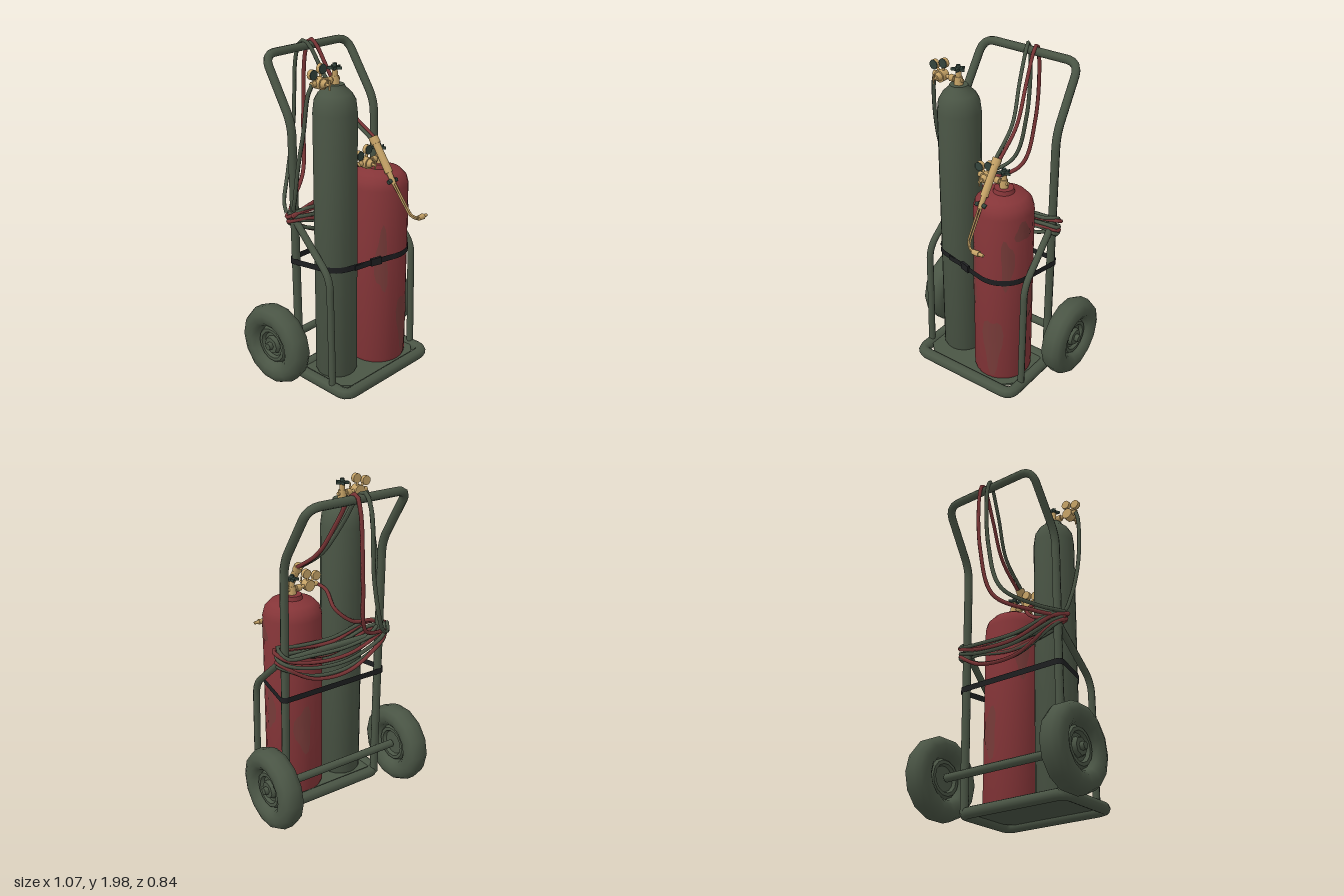
import * as THREE from 'three';
import { toCreasedNormals } from 'three/addons/utils/BufferGeometryUtils.js';

const mat = (name, color, side = THREE.FrontSide) => {
  const m = new THREE.MeshStandardMaterial({ color, side });
  m.name = name;
  return m;
};
const V = (p) => new THREE.Vector3(...p);

export function createModel() {
  const root = new THREE.Group();
  root.name = 'gasWeldingCart';
  const green = mat('olive green paint', 0x4a5545);
  const red = mat('red paint', 0x853538);
  const worn = mat('worn red paint', 0x763a38);
  const redHose = mat('red rubber', 0x7b3536);
  const brass = mat('brass', 0xc5a266);
  const black = mat('black strap', 0x1d1e20, THREE.DoubleSide);
  const dark = mat('dark green plastic', 0x33443c);

  const add = (name, geo, m, pos = [0, 0, 0], rot = [0, 0, 0], parent = root) => {
    const mesh = new THREE.Mesh(geo, m);
    mesh.name = name;
    mesh.position.set(...pos);
    mesh.rotation.set(...rot);
    parent.add(mesh);
    return mesh;
  };

  // Bent pipe: straight runs joined by short rounded corners
  const pipe = (name, pts, r, m, bend = 0.05, closed = false, segs = 64) => {
    const p = pts.map(V), n = p.length, path = new THREE.CurvePath();
    const toward = (a, b) => a.clone().lerp(b, Math.min(0.45, bend / a.distanceTo(b)));
    let last = closed ? toward(p[0], p[1]) : p[0];
    for (let i = 1; i < (closed ? n + 1 : n - 1); i++) {
      const c = p[i % n], a = toward(c, p[i - 1]), b = toward(c, p[(i + 1) % n]);
      path.add(new THREE.LineCurve3(last, a));
      path.add(new THREE.QuadraticBezierCurve3(a, c, b));
      last = b;
    }
    if (!closed) path.add(new THREE.LineCurve3(last, p[n - 1]));
    return add(name, new THREE.TubeGeometry(path, segs, r, 8, closed), m);
  };
  const hose = (name, pts, m, closed = false) =>
    add(name, new THREE.TubeGeometry(new THREE.CatmullRomCurve3(pts.map(V), closed), 64, 0.012, 6, closed), m);
  // Straight round bar between two points, optionally tapered
  const bar = (name, a, b, r, m, parent = root, r2 = r, sides = 10) => {
    const A = V(a), B = V(b), d = B.clone().sub(A);
    const mesh = add(name, new THREE.CylinderGeometry(r2, r, d.length(), sides), m,
      A.clone().add(B).multiplyScalar(0.5).toArray(), [0, 0, 0], parent);
    mesh.quaternion.setFromUnitVectors(new THREE.Vector3(0, 1, 0), d.normalize());
    return mesh;
  };
  const lathe = (pts, sides, crease = 0.7) =>
    toCreasedNormals(new THREE.LatheGeometry(pts.map((p) => new THREE.Vector2(...p)), sides), crease);

  // Base frame and plate with cut front corners
  pipe('baseFrame', [[-0.35, 0.045, -0.1], [-0.35, 0.045, 0.315], [0.35, 0.045, 0.315], [0.35, 0.045, -0.1]],
    0.035, green, 0.06, true, 96);
  const plate = new THREE.Shape([[-0.35, 0.1], [0.35, 0.1], [0.35, -0.2], [0.25, -0.3], [-0.25, -0.3], [-0.35, -0.2]]
    .map((p) => new THREE.Vector2(...p)));
  add('basePlate', new THREE.ExtrudeGeometry(plate, { depth: 0.015, bevelEnabled: false }), green,
    [0, 0.045, 0], [-Math.PI / 2, 0, 0]);

  // Handle hoop, side struts, crossbar and axle
  pipe('handleFrame', [[-0.335, 0.04, -0.1], [-0.335, 1.6, -0.12], [-0.325, 1.95, -0.34],
    [0.325, 1.95, -0.34], [0.335, 1.6, -0.12], [0.335, 0.04, -0.1]], 0.025, green, 0.08, false, 160);
  for (const s of [-1, 1])
    pipe('sideStrut', [[s * 0.352, 0.05, 0.2], [s * 0.352, 0.76, 0.185], [s * 0.335, 1.03, -0.11]],
      0.021, green, 0.08);
  bar('crossbar', [-0.33, 1.02, -0.11], [0.33, 1.02, -0.11], 0.019, green);
  bar('axle', [-0.42, 0.25, -0.165], [0.42, 0.25, -0.165], 0.025, green);

  // Wheels with recessed hubs
  const half = [[0.247, 0.025], [0.23, 0.058], [0.195, 0.073], [0.155, 0.07], [0.13, 0.05], [0.117, 0.02],
    [0.105, 0.04], [0.085, 0.04], [0.075, 0.02], [0, 0.02]];
  const wheelGeo = lathe([...half.map(([r, y]) => [r, -y]).reverse(), ...half], 14, 0.8);
  for (const s of [-1, 1]) {
    const wheel = new THREE.Group();
    wheel.name = 'wheel';
    wheel.position.set(s * 0.462, 0.25, -0.165);
    wheel.rotation.z = -s * Math.PI / 2;
    root.add(wheel);
    add('tyre', wheelGeo, green, [0, 0, 0], [0, 0, 0], wheel);
    add('hub', new THREE.CylinderGeometry(0.05, 0.06, 0.03, 8), green, [0, 0.03, 0], [0, 0, 0], wheel);
    add('hubNut', new THREE.CylinderGeometry(0.022, 0.025, 0.03, 6), green, [0, 0.055, 0], [0, 0, 0], wheel);
  }

  // Gas cylinders
  add('tallCylinder', lathe([[0, 0.06], [0.118, 0.06], [0.125, 0.075], [0.125, 1.68], [0.117, 1.745],
    [0.095, 1.785], [0.058, 1.82], [0.052, 1.835], [0, 1.835]], 20), green, [-0.188, 0, 0.072]);
  add('shortCylinder', lathe([[0, 0.06], [0.168, 0.06], [0.175, 0.08], [0.175, 1.19], [0.163, 1.235],
    [0.13, 1.27], [0.062, 1.287], [0.056, 1.312], [0, 1.312]], 24), red, [0.143, 0, 0.1]);

  // Worn paint patches wrapped round the short cylinder: angle, height, half width, half height
  [[0.25, 0.32, 0.35, 0.2], [0.75, 0.9, 0.22, 0.16], [1.7, 0.62, 0.2, 0.13], [1.3, 1.1, 0.3, 0.06],
    [-0.7, 0.75, 0.22, 0.2], [2.9, 0.5, 0.3, 0.15], [-2.2, 0.95, 0.25, 0.12]].forEach(([t, h, w, k], j) => {
    const g = new THREE.RingGeometry(0.001, 1, 18, 3), p = g.attributes.position;
    for (let i = 0; i < p.count; i++) {
      const x = p.getX(i), y = p.getY(i), f = 1 + 0.22 * Math.sin(3 * Math.atan2(y, x) + j);
      const a = t + x * w * f;
      p.setXYZ(i, Math.sin(a) * 0.177, h + y * k * f, Math.cos(a) * 0.177);
    }
    g.computeVertexNormals();
    add('wornPatch', g, worn, [0.143, 0, 0.1]);
  });

  // Valve, star knob and twin-gauge regulator, the same on both cylinders
  const star = new THREE.Shape();
  for (let i = 0; i < 10; i++) {
    const r = i % 2 ? 0.02 : 0.042, a = i * Math.PI / 5;
    star[i ? 'lineTo' : 'moveTo'](Math.cos(a) * r, Math.sin(a) * r);
  }
  const starGeo = new THREE.ExtrudeGeometry(star, { depth: 0.016, bevelEnabled: false });
  for (const pos of [[-0.188, 1.83, 0.072], [0.143, 1.31, 0.1]]) {
    const g = new THREE.Group();
    g.name = 'valveAndRegulator';
    g.position.set(...pos);
    root.add(g);
    bar('valveBase', [0, 0, 0], [0, 0.05, 0], 0.027, brass, g, 0.022, 8);
    bar('valveStem', [0, 0.05, 0], [0, 0.09, 0], 0.016, brass, g);
    add('valveKnob', starGeo, dark, [0, 0.085, 0], [-Math.PI / 2, 0, 0], g);
    bar('knobNut', [0, 0.1, 0], [0, 0.118, 0], 0.012, dark, g, 0.012, 6);
    bar('inletPipe', [0.03, 0.03, 0], [-0.17, 0.03, 0], 0.011, brass, g);
    bar('inletNut', [-0.03, 0.03, 0], [-0.06, 0.03, 0], 0.02, brass, g, 0.02, 6);
    bar('outletNut', [-0.145, 0.03, 0], [-0.175, 0.03, 0], 0.016, brass, g, 0.016, 6);
    bar('regulatorBody', [-0.115, 0.03, -0.02], [-0.115, 0.03, 0.03], 0.034, brass, g, 0.034, 12);
    bar('regulatorBonnet', [-0.115, 0.03, 0.03], [-0.115, 0.03, 0.055], 0.026, brass, g, 0.016);
    bar('adjustScrew', [-0.115, 0.03, 0.05], [-0.115, 0.03, 0.08], 0.008, brass, g);
    bar('screwHandle', [-0.115, 0.002, 0.076], [-0.115, 0.058, 0.076], 0.005, brass, g);
    for (const [x, y] of [[-0.167, 0.082], [-0.1, 0.104]]) {
      bar('gaugeStem', [-0.115, 0.03, 0], [x, y, 0], 0.008, brass, g);
      bar('gaugeCase', [x, y, -0.012], [x, y, 0.01], 0.028, brass, g, 0.028, 12);
      bar('gaugeFace', [x, y, 0.01], [x, y, 0.014], 0.027, dark, g, 0.027, 12);
    }
  }

  // Strap: tight loop round the cylinders and uprights
  const posts = [[-0.188, 0.072, 0.131], [0.143, 0.1, 0.181], [-0.335, -0.11, 0.031], [0.335, -0.11, 0.031]];
  const n = 72, strap = new THREE.PlaneGeometry(1, 0.036, n, 1), sp = strap.attributes.position;
  for (let i = 0; i < sp.count; i++) {
    const a = (i % (n + 1)) / n * Math.PI * 2, c = Math.cos(a), s = Math.sin(a);
    const reach = (q) => q[0] * c + q[1] * s + q[2];
    const q = posts.reduce((b, o) => (reach(o) > reach(b) ? o : b));
    sp.setXYZ(i, q[0] + c * q[2], sp.getY(i), q[1] + s * q[2]);
  }
  strap.computeVertexNormals();
  add('strap', strap, black, [0, 0.78, 0]);
  add('strapBuckle', new THREE.BoxGeometry(0.07, 0.045, 0.016), black, [-0.03, 0.78, 0.243], [0, -0.28, 0]);
  add('strapTail', new THREE.BoxGeometry(0.13, 0.03, 0.006), black, [-0.11, 0.775, 0.222], [0, -0.15, 0]);

  // Cutting torch
  const tx = 0.095;
  bar('torchRear', [tx, 1.475, 0.095], [tx, 1.44, 0.12], 0.028, brass, root, 0.028, 8);
  bar('torchHandle', [tx, 1.45, 0.113], [tx, 1.29, 0.222], 0.022, brass, root, 0.024);
  bar('torchValveBody', [tx, 1.29, 0.222], [tx, 1.23, 0.262], 0.017, brass, root, 0.013);
  for (const s of [-1, 1])
    bar('torchKnob', [tx + s * 0.012, 1.25, 0.249], [tx + s * 0.035, 1.245, 0.249], 0.013, dark, root, 0.013, 6);
  for (const s of [-1, 1])
    pipe('torchTube', [[tx + s * 0.008, 1.24, 0.255], [tx + 0.01 + s * 0.007, 1.07, 0.378],
      [0.135, 1.045 + s * 0.006, 0.4], [0.17, 1.042, 0.4]], 0.0055, brass, 0.03);
  bar('torchHead', [0.15, 1.042, 0.4], [0.195, 1.042, 0.4], 0.015, brass, root, 0.018, 8);
  bar('torchNozzle', [0.195, 1.042, 0.4], [0.225, 1.042, 0.4], 0.012, brass, root, 0.009, 8);

  // Hoses from the torch, over the handle and down to the coil
  hose('greenTorchHose', [[0.083, 1.46, 0.105], [0.06, 1.6, -0.09], [0.015, 1.8, -0.22], [-0.01, 1.96, -0.315],
    [-0.025, 1.982, -0.355], [-0.035, 1.9, -0.395], [-0.06, 1.5, -0.405], [-0.14, 1.2, -0.38], [-0.29, 1.1, -0.25],
    [-0.39, 1.08, -0.12]], green);
  hose('redTorchHose', [[0.108, 1.46, 0.105], [0.09, 1.6, -0.09], [0.06, 1.8, -0.22], [0.042, 1.96, -0.315],
    [0.035, 1.982, -0.355], [0.03, 1.9, -0.388], [0.01, 1.5, -0.395], [-0.05, 1.2, -0.34], [-0.25, 1.09, -0.22],
    [-0.39, 1.05, -0.11]], redHose);
  // Hoses from the regulators to the coil
  hose('greenSupplyHose', [[-0.355, 1.86, 0.072], [-0.378, 1.8, 0.06], [-0.395, 1.6, 0.04], [-0.402, 1.4, 0],
    [-0.385, 1.2, -0.05], [-0.36, 1.1, -0.09], [-0.2, 1.04, -0.17]], green);
  hose('redSupplyHose', [[-0.03, 1.34, 0.1], [-0.06, 1.31, 0.05], [-0.06, 1.22, -0.04], [-0.16, 1.13, -0.08],
    [-0.3, 1.1, -0.075], [-0.39, 1.07, -0.08]], redHose);

  // Coiled hose hung round the uprights: reach, height, sag, depth behind
  [[0.37, 1.1, 0.07, 0.165, green], [0.38, 1.06, 0.1, 0.185, green], [0.375, 1.03, 0.13, 0.16, green],
    [0.4, 1.09, 0.1, 0.175, redHose], [0.385, 1.04, 0.15, 0.18, redHose]].forEach(([w, h, sag, d, m], i) => {
    const tilt = 0.02 * (i % 3 - 1);
    hose('hoseCoil', [[-w, h + tilt, -0.1], [-0.3, h, -0.068], [0, h - sag * 0.5, -0.09], [0.3, h - 0.02, -0.082],
      [w, h - tilt - 0.02, -0.09], [0.35, h - 0.05, -0.155], [0.18, h - sag, -d], [-0.08, h - sag * 1.1, -d],
      [-0.34, h - 0.03, -0.155]], m, true);
  });
  return root;
}
